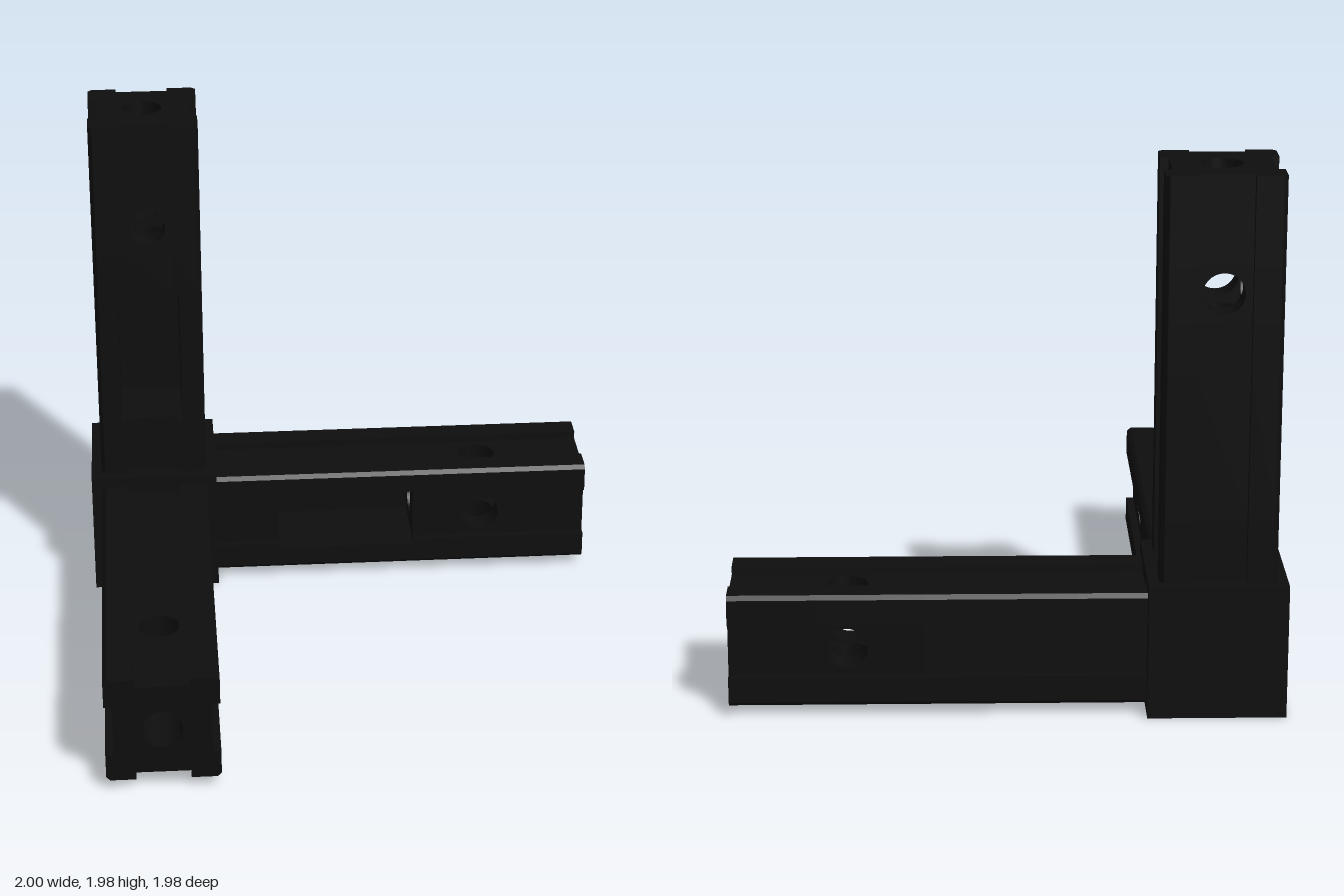
import * as THREE from 'three';

const HALF = 0.21;     // half width of an arm
const FLOOR = 0.18;    // groove floor distance from the arm axis
const GROOVE = 0.1;    // half width of a groove
const POCKET = 0.12;   // half width of the pocket
const BORE = 0.075;    // radius of every bolt hole
const CHAMFER = 0.015;

const black = new THREE.MeshStandardMaterial({ color: 0x0e0e0e });
black.name = 'black';

// one corner rib of the grooved profile
const RIB = [
  [HALF, GROOVE], [HALF, HALF - CHAMFER], [HALF - CHAMFER, HALF], [GROOVE, HALF],
];

// square outline with a groove in each side; optionally cut open by the pocket on +x
function profile(withPocket) {
  const points = [];
  for (let k = 0; k < 4; k++) {
    for (const [x, y] of [[FLOOR, -GROOVE], [FLOOR, GROOVE], ...RIB]) {
      const p = new THREE.Vector2(x, y);
      for (let i = 0; i < k; i++) p.set(-p.y, p.x);
      if (withPocket && p.x > 0.17 && Math.abs(p.y) < GROOVE + 0.01) {
        if (p.x < 0.2) p.x = -0.1;
        p.y = Math.sign(p.y) * POCKET;
      }
      points.push(p);
    }
  }
  return new THREE.Shape(points);
}

function addHole(shape) {
  shape.holes.push(new THREE.Path().absarc(0, 0, BORE, 0, Math.PI * 2, true));
  return shape;
}

function extrude(name, shape, from, to) {
  const geometry = new THREE.ExtrudeGeometry(shape, {
    depth: to - from, bevelEnabled: false, curveSegments: 24,
  });
  geometry.translate(0, 0, from);
  const mesh = new THREE.Mesh(geometry, black);
  mesh.name = name;
  return mesh;
}

// arm along local +z with its pocket on local +x
function makeArm(name, shift) {
  const arm = new THREE.Group();
  arm.name = name;
  const pocketStart = 0.48 + shift, pocketEnd = 1.03 + shift;
  const hole = 1.305 + shift, end = 1.73 + shift;

  arm.add(
    extrude('armRoot', profile(false), 0.2, pocketStart),
    extrude('armPocket', profile(true), pocketStart, pocketEnd),
    extrude('armMiddle', addHole(profile(false)), pocketEnd, hole - GROOVE),
    extrude('armTip', addHole(profile(false)), hole + GROOVE, end),
  );

  // cross-drilled section: four ribs and four holed walls
  const rib = new THREE.Shape([[GROOVE, GROOVE], ...RIB].map(([x, y]) => new THREE.Vector2(x, y)));
  const g = GROOVE;
  const square = [[-g, -g], [g, -g], [g, g], [-g, g]].map(([x, y]) => new THREE.Vector2(x, y));
  for (let k = 0; k < 4; k++) {
    const ribMesh = extrude('cornerRib', rib, hole - GROOVE, hole + GROOVE);
    ribMesh.rotation.z = k * Math.PI / 2;
    const wall = extrude('holedWall', addHole(new THREE.Shape(square)), 0.08, FLOOR);
    wall.geometry.rotateY(Math.PI / 2).rotateZ(k * Math.PI / 2).translate(0, 0, hole);
    arm.add(ribMesh, wall);
  }
  return arm;
}

export function createModel() {
  const model = new THREE.Group();
  model.name = 'cornerConnector';
  const centre = new THREE.Vector3(-0.75, 0.25, -0.74);

  // corner block
  const block = new THREE.Mesh(new THREE.BoxGeometry(0.5, 0.5, 0.5), black);
  block.name = 'cornerBlock';
  block.position.copy(centre);
  model.add(block);

  // three arms: length direction and pocket direction
  const X = new THREE.Vector3(1, 0, 0), Y = new THREE.Vector3(0, 1, 0), Z = new THREE.Vector3(0, 0, 1);
  for (const [name, along, pocket, shift] of [
    ['sideArm', X, Z, 0.02], ['uprightArm', Y, Z, 0], ['frontArm', Z, X, 0],
  ]) {
    const arm = makeArm(name, shift);
    const across = new THREE.Vector3().crossVectors(along, pocket);
    arm.quaternion.setFromRotationMatrix(new THREE.Matrix4().makeBasis(pocket, across, along));
    arm.position.copy(centre);
    model.add(arm);
  }
  return model;
}
